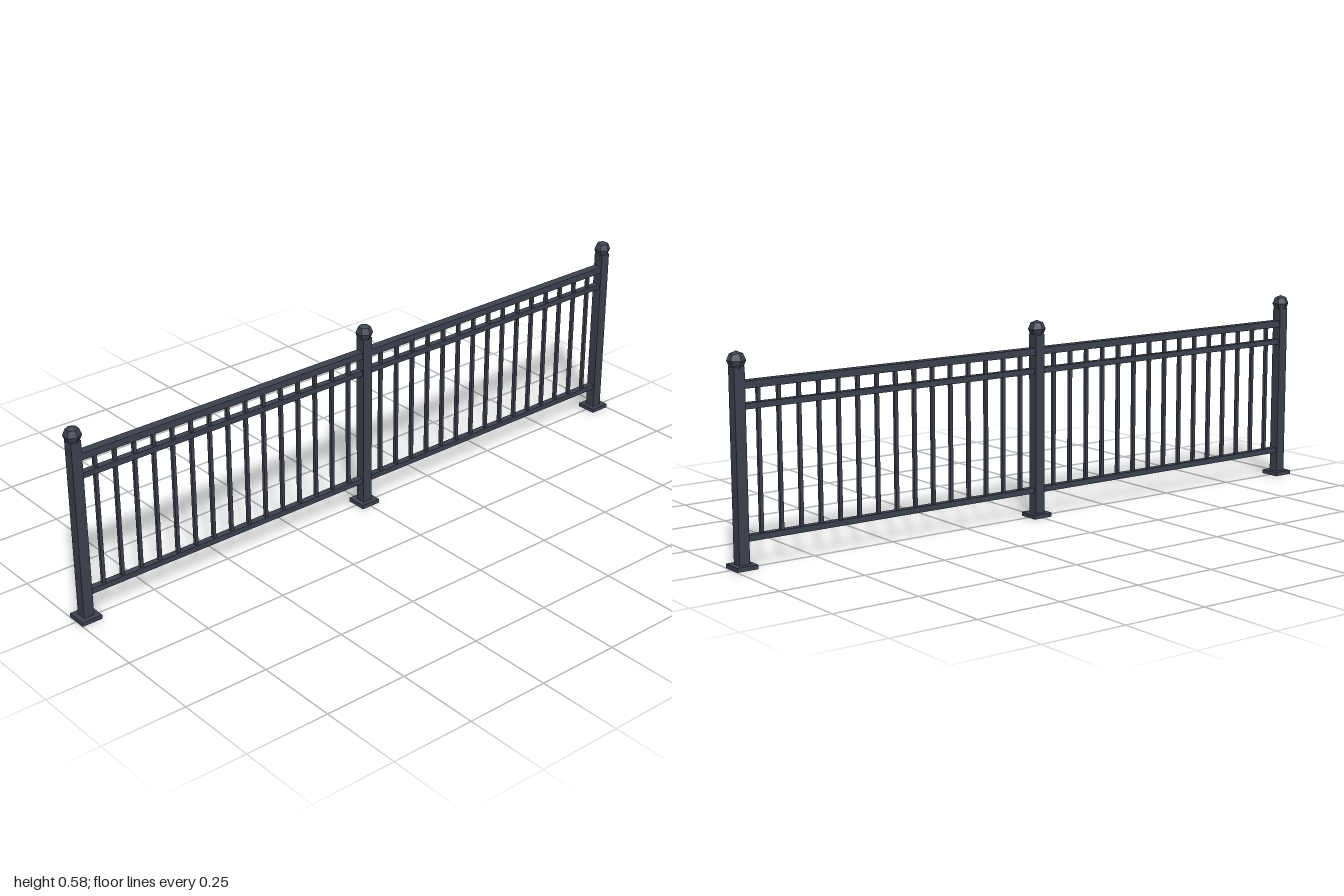
import * as THREE from 'three';

export function createModel() {
  const fence = new THREE.Group();
  fence.name = 'railing';
  const iron = new THREE.MeshStandardMaterial({ color: 0x3d424e, flatShading: true });
  iron.name = 'dark iron';

  const SPAN = 0.969; // distance between posts
  const POST = 0.031;

  const add = (parent, name, geometry, x, y) => {
    const mesh = new THREE.Mesh(geometry, iron);
    mesh.name = name;
    mesh.position.set(x, y, 0);
    parent.add(mesh);
  };

  // Posts with foot plates and faceted ball finials
  const plateGeo = new THREE.BoxGeometry(0.062, 0.012, 0.062);
  const postGeo = new THREE.BoxGeometry(POST, 0.526, POST);
  const ballGeo = new THREE.SphereGeometry(0.0255, 6, 4).rotateY(Math.PI / 2);
  for (const x of [-SPAN, 0, SPAN]) {
    const post = new THREE.Group();
    post.name = 'post';
    post.position.x = x;
    add(post, 'footPlate', plateGeo, 0, 0.006);
    add(post, 'postShaft', postGeo, 0, 0.273);
    add(post, 'ballFinial', ballGeo, 0, 0.551);
    fence.add(post);
  }

  // Two panels: three rails and fifteen balusters each
  const length = SPAN - POST;
  const gap = SPAN / 16;
  const balusterGeo = new THREE.BoxGeometry(0.01, 0.405, 0.01);
  for (const side of [-1, 1]) {
    const panel = new THREE.Group();
    panel.name = side < 0 ? 'rightPanel' : 'leftPanel';
    panel.position.x = side * SPAN / 2;
    add(panel, 'topRail', new THREE.BoxGeometry(length, 0.02, 0.027), 0, 0.487);
    add(panel, 'middleRail', new THREE.BoxGeometry(length, 0.016, 0.02), 0, 0.43);
    add(panel, 'bottomRail', new THREE.BoxGeometry(length, 0.016, 0.02), 0, 0.08);
    for (let i = -7; i <= 7; i++) add(panel, 'baluster', balusterGeo, i * gap, 0.2815);
    fence.add(panel);
  }
  return fence;
}
